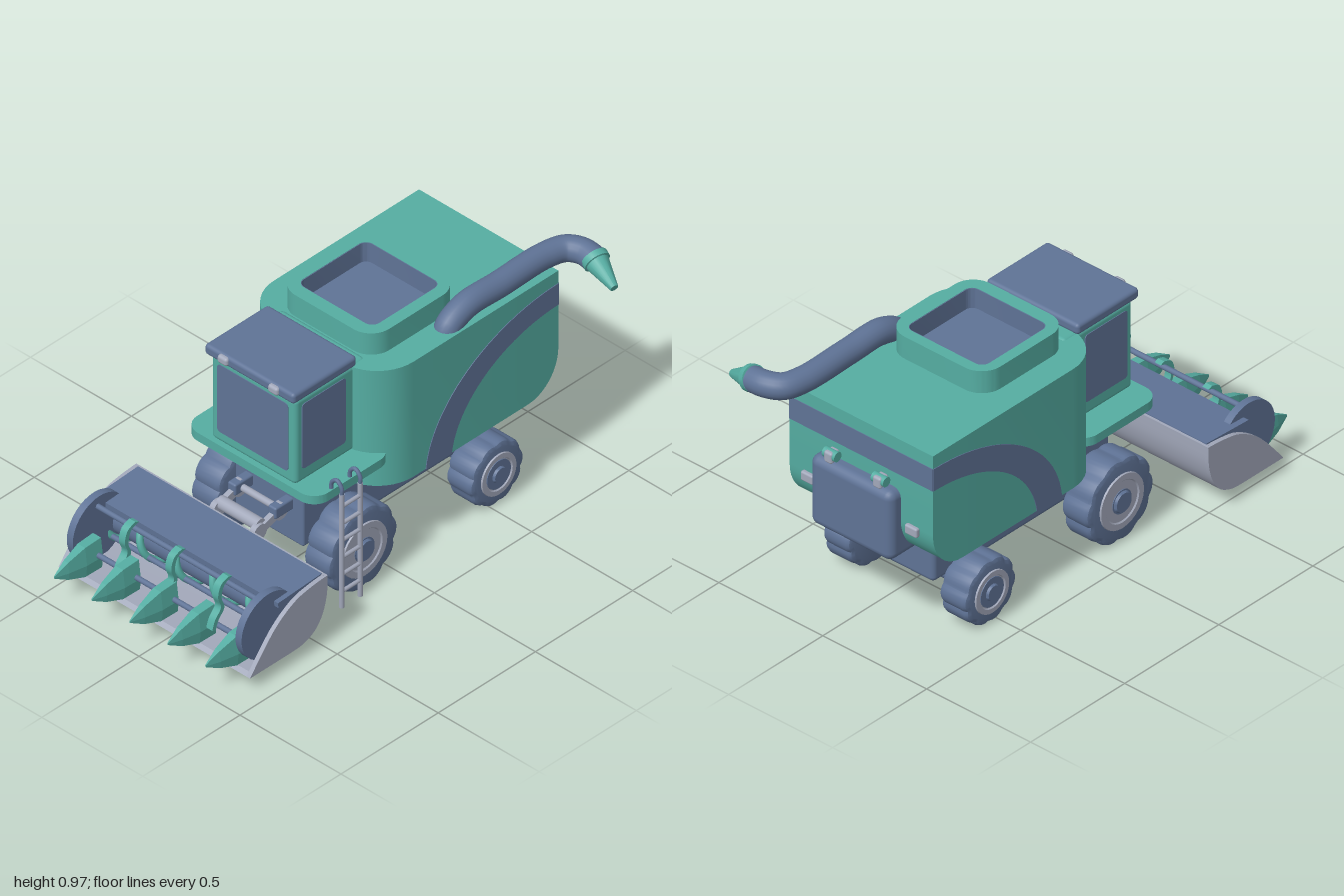
import * as THREE from 'three';
import { toCreasedNormals } from 'three/addons/utils/BufferGeometryUtils.js';
import { RoundedBoxGeometry } from 'three/addons/geometries/RoundedBoxGeometry.js';

const paint = (name, color) => Object.assign(new THREE.MeshStandardMaterial({ color }), { name });
const V2 = (p) => new THREE.Vector2(p[0], p[1]);
const V3 = (p) => new THREE.Vector3(...p);
const CX = -0.045; // centre line of the bodywork

export function createModel() {
  const model = new THREE.Group();
  model.name = 'combineHarvester';
  const green = paint('green', 0x55ada2);
  const blue = paint('slateBlue', 0x5f7396);
  const grey = paint('lightGrey', 0xa2a8ba);

  const add = (name, geo, mat, x = 0, y = 0, z = 0) => {
    const m = new THREE.Mesh(geo, mat);
    m.name = name;
    m.position.set(x, y, z);
    model.add(m);
    return m;
  };
  const crease = (g) => toCreasedNormals(g, 0.6);
  // box given by its limits
  const box = (name, mat, x0, x1, y0, y1, z0, z1, r = 0) => {
    const s = [x1 - x0, y1 - y0, z1 - z0];
    const g = r ? new RoundedBoxGeometry(...s, 3, r) : new THREE.BoxGeometry(...s);
    return add(name, g, mat, (x0 + x1) / 2, (y0 + y1) / 2, (z0 + z1) / 2);
  };
  // outline in (z, y), extruded from x0 to x1
  const sideExtrude = (shape, x0, x1, bevel = 0) => {
    const g = new THREE.ExtrudeGeometry(shape, {
      depth: x1 - x0 - 2 * bevel, bevelEnabled: bevel > 0, bevelSize: bevel,
      bevelThickness: bevel, bevelOffset: -bevel, bevelSegments: 2, curveSegments: 16,
    });
    return crease(g.rotateY(-Math.PI / 2).translate(x1 - bevel, 0, 0));
  };
  // outline in (x, z), extruded from y0 to y1
  const planExtrude = (shape, y0, y1) => crease(new THREE.ExtrudeGeometry(shape,
    { depth: y1 - y0, bevelEnabled: false, curveSegments: 8 }).rotateX(Math.PI / 2).translate(0, y1, 0));
  const roundRect = (x0, x1, y0, y1, r, Type = THREE.Shape) => {
    const s = new Type();
    s.absarc(x1 - r, y0 + r, r, -Math.PI / 2, 0).absarc(x1 - r, y1 - r, r, 0, Math.PI / 2);
    s.absarc(x0 + r, y1 - r, r, Math.PI / 2, Math.PI).absarc(x0 + r, y0 + r, r, Math.PI, Math.PI * 1.5);
    s.closePath();
    return s;
  };
  // skin over rings ordered from back to front, each counter-clockwise seen from the front
  const loft = (rings) => {
    const pos = [], n = rings[0].length, last = rings.length - 1;
    const tri = (...p) => p.forEach((q) => pos.push(...q));
    for (let i = 0; i < last; i++) for (let j = 0; j < n; j++) {
      const k = (j + 1) % n, a = rings[i], b = rings[i + 1];
      tri(a[j], a[k], b[k]);
      tri(a[j], b[k], b[j]);
    }
    for (let j = 1; j < n - 1; j++) {
      tri(rings[0][0], rings[0][j + 1], rings[0][j]);
      tri(rings[last][0], rings[last][j], rings[last][j + 1]);
    }
    const g = new THREE.BufferGeometry();
    g.setAttribute('position', new THREE.Float32BufferAttribute(pos, 3));
    return g;
  };
  const rodX = (name, mat, x0, x1, y, z, r, seg = 20) =>
    add(name, new THREE.CylinderGeometry(r, r, x1 - x0, seg).rotateZ(Math.PI / 2), mat, (x0 + x1) / 2, y, z);
  const tube = (name, mat, pts, r, seg = 32, sides = 12) =>
    add(name, new THREE.TubeGeometry(new THREE.CatmullRomCurve3(pts.map(V3)), seg, r, sides), mat);

  // Main body: rounded front corners in plan, rounded lower rear edge
  const rings = [];
  const ring = (w, y, z) => rings.push([[CX - w, y, z], [CX + w, y, z], [CX + w, 0.885, z], [CX - w, 0.885, z]]);
  for (let i = 0; i <= 10; i++) {
    const a = (i / 10) * Math.PI / 2;
    ring(0.345, 0.54 - 0.17 * Math.sin(a), -0.69 - 0.155 * Math.cos(a));
  }
  for (let i = 0; i <= 10; i++) {
    const a = (i / 10) * Math.PI / 2;
    ring(0.165 + 0.18 * Math.cos(a), 0.37, -0.1 + 0.18 * Math.sin(a));
  }
  add('body', crease(loft(rings)), green);

  // Sweeping side stripes and the rear band
  const stripe = [], arc = (a, b, i) => {
    const lim = Math.asin(0.04 / b), t = lim + (Math.PI / 2 - lim) * i / 24;
    return V2([-0.845 + a * Math.cos(t), 0.33 + b * Math.sin(t)]);
  };
  for (let i = 0; i <= 24; i++) stripe.push(arc(0.685, 0.5, i));
  for (let i = 24; i >= 0; i--) stripe.push(arc(0.553, 0.405, i));
  for (const s of [-1, 1]) {
    const x = CX + s * 0.345;
    add('sideStripe', sideExtrude(new THREE.Shape(stripe), x - 0.003, x + 0.003), blue);
  }
  box('rearBand', blue, -0.39, 0.3, 0.735, 0.83, -0.848, -0.842);

  // Grain tank rim and lined well
  const rim = roundRect(-0.28, 0.19, -0.455, 0, 0.09);
  rim.holes.push(roundRect(-0.235, 0.14, -0.41, -0.055, 0.035, THREE.Path));
  add('tankRim', planExtrude(rim, 0.88, 0.98), green);
  const liner = roundRect(-0.236, 0.141, -0.411, -0.054, 0.035);
  liner.holes.push(roundRect(-0.232, 0.137, -0.407, -0.058, 0.032, THREE.Path));
  add('tankLiner', planExtrude(liner, 0.885, 0.979), blue);
  add('tankFloor', planExtrude(roundRect(-0.235, 0.14, -0.41, -0.055, 0.035), 0.88, 0.895), blue);

  // Unloading pipe with tapered spout
  tube('unloadingPipe', blue, [[0.24, 0.84, -0.325], [0.24, 0.885, -0.345], [0.24, 0.926, -0.43], [0.24, 0.926, -0.6],
    [0.24, 0.926, -0.84], [0.265, 0.926, -0.92], [0.32, 0.926, -0.95], [0.385, 0.92, -0.95]], 0.05, 60, 20);
  const spout = new THREE.LatheGeometry([[0, 0], [0.052, 0], [0.052, 0.025], [0.045, 0.027], [0.016, 0.145], [0, 0.145]].map(V2), 20);
  add('spout', crease(spout), green, 0.373, 0.926, -0.952).quaternion
    .setFromUnitVectors(new THREE.Vector3(0, 1, 0), V3([0.135, -0.055, 0.032]).normalize());

  // Cab, roof, windows, lamps and platform
  box('cab', green, -0.255, 0.165, 0.51, 0.89, 0, 0.367, 0.02);
  box('cabRoof', blue, -0.268, 0.176, 0.888, 0.934, 0.06, 0.388, 0.015);
  const pane = roundRect(-0.22, 0.13, 0.56, 0.86, 0.015);
  add('frontWindow', new THREE.ExtrudeGeometry(pane, { depth: 0.006, bevelEnabled: false }), blue, 0, 0, 0.364);
  for (const x of [-0.255, 0.165])
    add('sideWindow', sideExtrude(roundRect(0.11, 0.335, 0.57, 0.86, 0.015), x - 0.003, x + 0.003), blue);
  for (const x of [-0.17, 0.08]) box('roofLamp', grey, x - 0.025, x + 0.025, 0.895, 0.93, 0.37, 0.4, 0.012);
  add('platform', planExtrude(roundRect(-0.37, 0.28, -0.02, 0.387, 0.07), 0.48, 0.517), green);

  // Chassis and neck under the cab
  box('chassis', blue, -0.215, 0.125, 0.155, 0.4, -0.65, 0.2, 0.02);
  box('neck', blue, -0.215, 0.125, 0.17, 0.485, 0.05, 0.285, 0.01);

  // Wheels with lugged tyres
  const wheel = (name, side, R, z) => {
    const x = CX + side * 0.3, y = R + 0.007, pts = [];
    for (let i = 0; i < 72; i++) {
      const a = (i / 72) * Math.PI * 2, r = R * (0.91 + 0.09 * Math.sqrt(Math.abs(Math.cos(a * 5 + 0.3))));
      pts.push(V2([r * Math.cos(a), r * Math.sin(a)]));
    }
    add(name + 'Tyre', sideExtrude(new THREE.Shape(pts), -0.065, 0.065, 0.018), blue, x - side * 0.02, y, z);
    const turn = (prof) => crease(new THREE.LatheGeometry(prof.map(V2), 28).rotateZ(-side * Math.PI / 2));
    const k = R / 0.18;
    add(name + 'Rim', turn([[0.12 * k, 0.03], [0.115 * k, 0.052], [0.09 * k, 0.052], [0.085 * k, 0.047], [0, 0.047]]), grey, x, y, z);
    add(name + 'Hub', turn([[(R > 0.15 ? 0.05 : 0.083 * k), 0.04], [(R > 0.15 ? 0.05 : 0.08 * k), 0.05],
      [0.045 * k, 0.05], [0.04 * k, 0.06], [0, 0.06]]), blue, x, y, z);
  };
  for (const side of [-1, 1]) {
    wheel('front', side, 0.178, 0.155);
    wheel('rear', side, 0.137, -0.535);
  }
  rodX('frontAxle', blue, -0.3, 0.21, 0.185, 0.155, 0.04);
  rodX('rearAxle', blue, -0.3, 0.21, 0.144, -0.535, 0.035);

  // Ladder with hooked handrails
  for (const z of [0.195, 0.29]) {
    add('ladderRail', new THREE.CylinderGeometry(0.01, 0.01, 0.505, 12), grey, 0.32, 0.2625, z);
    tube('ladderHook', blue, [[0.32, 0.51, z], [0.32, 0.54, z], [0.297, 0.565, z], [0.272, 0.545, z], [0.268, 0.5, z]], 0.008, 20, 10);
  }
  for (let i = 0; i < 6; i++)
    add('ladderRung', new THREE.CylinderGeometry(0.008, 0.008, 0.1, 10).rotateX(Math.PI / 2), grey, 0.32, 0.08 + i * 0.076, 0.2425);

  // Rear hatch, hinges and lamps
  box('rearHatch', blue, -0.235, 0.16, 0.372, 0.67, -0.9, -0.7, 0.035);
  for (const x of [-0.155, 0.08]) {
    rodX('hatchHinge', green, x - 0.03, x + 0.03, 0.69, -0.865, 0.02);
    box('hingeStrap', grey, x - 0.02, x + 0.02, 0.66, 0.708, -0.888, -0.84, 0.01);
  }
  for (const x of [-0.295, 0.205]) box('rearLamp', grey, x - 0.03, x + 0.03, 0.505, 0.545, -0.862, -0.84, 0.008);

  // Header trough and end plates
  const back = new THREE.SplineCurve([[0.66, 0.067], [0.6, 0.072], [0.54, 0.1], [0.5, 0.155], [0.479, 0.23], [0.475, 0.312]].map(V2)).getPoints(20);
  const inner = back.map((p, i) => V2([p.x + 0.014 * Math.sin(i / 20 * Math.PI / 2), p.y + 0.014 * Math.cos(i / 20 * Math.PI / 2)])).reverse();
  const tip = V2([0.875, 0.067]);
  add('headerTrough', sideExtrude(new THREE.Shape([tip, ...back, ...inner, V2([0.86, 0.081])]), -0.51, 0.42), grey);
  const brow = new THREE.SplineCurve([[0.475, 0.312], [0.56, 0.305], [0.65, 0.283], [0.755, 0.21], [0.875, 0.067]].map(V2)).getPoints(16);
  for (const x of [-0.519, 0.411])
    add('headerEndPlate', sideExtrude(new THREE.Shape([...back, ...brow.slice(1)]), x, x + 0.018), grey);
  box('headerCover', blue, -0.5, 0.41, 0.288, 0.31, 0.485, 0.71).rotation.x = 0.05;

  // Auger drum and spiral flight
  rodX('augerDrum', blue, -0.505, 0.415, 0.187, 0.605, 0.068, 28);
  const spiral = [];
  for (let i = 0; i <= 100; i++) {
    const x = -0.485 + i * 0.0088, a = ((x + 0.33) / 0.18) * Math.PI * 2;
    spiral.push([x, 0.187 + 0.082 * Math.cos(a), 0.605 + 0.09 * Math.sin(a)]);
  }
  tube('augerFlight', green, spiral, 0.014, 240, 10);

  // Reel discs, bars and curved tines
  for (const x of [-0.46, 0.375]) rodX('reelDisc', blue, x - 0.015, x + 0.015, 0.213, 0.74, 0.138, 36);
  for (const [y, z] of [[0.31, 0.75], [0.145, 0.8], [0.14, 0.68]]) rodX('reelBar', blue, -0.46, 0.375, y, z, 0.011, 12);
  const tineLine = new THREE.SplineCurve([[0.73, 0.328], [0.77, 0.31], [0.785, 0.26], [0.77, 0.21], [0.8, 0.17], [0.815, 0.13]].map(V2)).getPoints(20);
  const tine = new THREE.Shape([...tineLine, ...tineLine.map((p) => V2([p.x + 0.018, p.y + 0.008])).reverse()]);
  for (const x of [-0.275, -0.045, 0.187]) add('reelTine', sideExtrude(tine, x - 0.015, x + 0.015), green);

  // Faceted crop dividers
  const hex = [[-0.025, 0.075], [0.025, 0.075], [0.03, 0.13], [0.02, 0.21], [-0.02, 0.21], [-0.03, 0.13]];
  for (let i = 0; i < 5; i++) {
    const x = -0.42 + i * 0.1875;
    const g = loft([[0.78, 1], [0.86, 0.94], [0.94, 0.55], [1, 0.07]].map(([z, s]) =>
      hex.map(([u, y]) => [x + u * s, 0.14 + (y - 0.14) * s, z])));
    g.computeVertexNormals();
    add('cropDivider', g, green);
  }

  // Linkage between neck and header
  for (const x of [-0.145, 0.055]) {
    rodX('linkEnd', grey, x - 0.012, x + 0.012, 0.295, 0.445, 0.034);
    rodX('linkEnd', grey, x - 0.012, x + 0.012, 0.33, 0.335, 0.036);
    box('linkArm', grey, x - 0.011, x + 0.011, 0.295, 0.33, 0.335, 0.445).rotation.x = 0.3;
    box('linkMount', blue, x - 0.02, x + 0.02, 0.315, 0.365, 0.27, 0.375, 0.008);
  }
  rodX('linkRoller', grey, -0.145, 0.055, 0.315, 0.432, 0.026);
  rodX('linkBar', grey, -0.145, 0.055, 0.335, 0.335, 0.014);
  return model;
}
